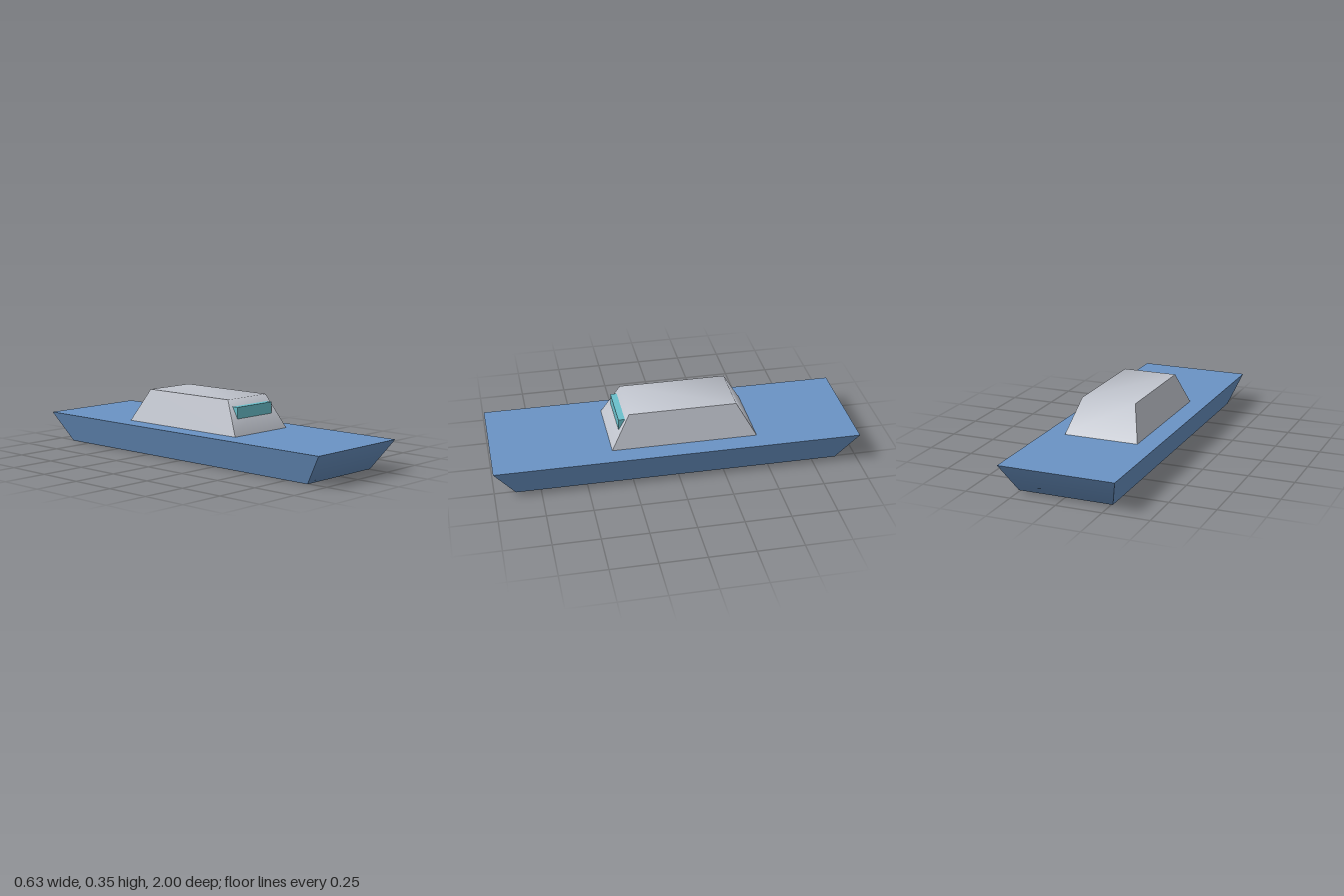
import * as THREE from 'three';
import { mergeGeometries } from 'three/addons/utils/BufferGeometryUtils.js';

// Geometry from points and triangle indices; normals are smooth across shared points.
function surface(points, index, smooth) {
  const geo = new THREE.BufferGeometry();
  geo.setAttribute('position', new THREE.Float32BufferAttribute(points.flat(), 3));
  geo.setIndex(index);
  if (smooth) geo.computeVertexNormals();
  const flat = geo.toNonIndexed();
  if (!smooth) flat.computeVertexNormals();
  return flat;
}

// Tapered body from four cross-bars [halfWidth, y, z]: a smooth strip over
// bars 0-3, a flat face closing bar 3 to bar 0, and two flat sides.
function taperedBody(bars) {
  const right = bars.map(([w, y, z]) => [-w, y, z]);
  const left = bars.map(([w, y, z]) => [w, y, z]);
  const points = [...right, ...left];
  const quad = (a, b) => [a, a + 4, b + 4, a, b + 4, b];
  return mergeGeometries([
    surface(points, [...quad(0, 1), ...quad(1, 2), ...quad(2, 3)], true),
    surface(points, quad(3, 0), false),
    surface(right, [0, 1, 2, 0, 2, 3], false),
    surface(left, [0, 2, 1, 0, 3, 2], false),
  ]);
}

export function createModel() {
  const model = new THREE.Group();
  model.name = 'boat';

  const material = (name, color) => {
    const m = new THREE.MeshStandardMaterial({ color });
    m.name = name;
    return m;
  };
  const add = (name, geometry, mat) => {
    const mesh = new THREE.Mesh(geometry, mat);
    mesh.name = name;
    model.add(mesh);
    return mesh;
  };

  // Hull: ends and bottom run smoothly, deck and sides are flat
  add('hull', taperedBody([
    [0.317, 0.164, -1],
    [0.258, 0, -0.885],
    [0.258, 0, 0.885],
    [0.317, 0.164, 1],
  ]), material('hullBlue', 0x6a93c4));

  // Cabin: windscreen slope, roof and rear slope
  add('cabin', taperedBody([
    [0.207, 0.164, 0.353],
    [0.152, 0.346, 0.25],
    [0.152, 0.346, -0.339],
    [0.207, 0.164, -0.445],
  ]), material('cabinGrey', 0xc0c4cd));

  // Front window block, set into the sloped cabin front
  add('frontWindow', new THREE.BoxGeometry(0.274, 0.063, 0.04), material('windowTeal', 0x6ac0cc))
    .position.set(0, 0.278, 0.286);

  return model;
}
